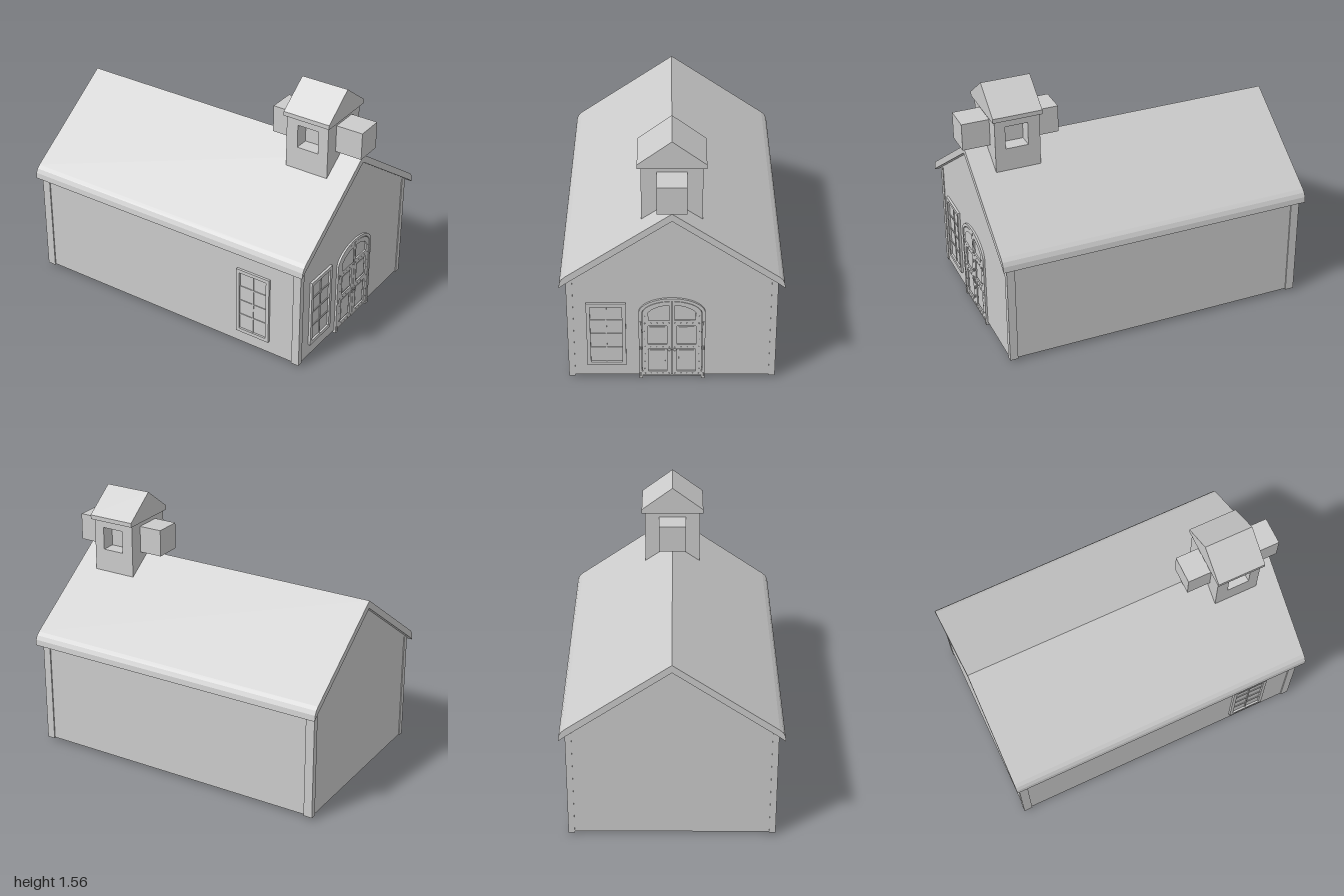
import * as THREE from 'three';

const mat = new THREE.MeshStandardMaterial({ color: 0xcccccc, flatShading: true });

function add(parent, name, geo) {
  const m = new THREE.Mesh(geo, mat);
  m.name = name;
  parent.add(m);
  return m;
}

// Box given by its limits on each axis
function box(parent, name, x0, x1, y0, y1, z0, z1) {
  const m = add(parent, name, new THREE.BoxGeometry(x1 - x0, y1 - y0, z1 - z0));
  m.position.set((x0 + x1) / 2, (y0 + y1) / 2, (z0 + z1) / 2);
  return m;
}

// Flat shape extruded from z0 to z1
function slab(parent, name, shape, z0, z1) {
  const geo = new THREE.ExtrudeGeometry(shape, { depth: z1 - z0, bevelEnabled: false, curveSegments: 16 });
  return add(parent, name, geo.translate(0, 0, z0));
}

const poly = pts => new THREE.Shape(pts.map(p => new THREE.Vector2(...p)));
const rect = (x0, x1, y0, y1) => poly([[x0, y0], [x1, y0], [x1, y1], [x0, y1]]);
const mirrored = pts => poly([...pts, ...pts.slice().reverse().filter(p => p[0] !== 0).map(([x, y]) => [-x, y])]);

// Outline with an elliptical top
function arch(halfWidth, base, spring, rise) {
  const s = new THREE.Shape();
  s.moveTo(-halfWidth, base);
  s.lineTo(halfWidth, base);
  s.lineTo(halfWidth, spring);
  s.absellipse(0, spring, halfWidth, rise, 0, Math.PI, false);
  s.closePath();
  return s;
}

// Group whose local +z faces the gable end (+x)
function gableGroup(name) {
  const g = new THREE.Group();
  g.name = name;
  g.rotation.y = Math.PI / 2;
  return g;
}

// Framed window with glazing bars, centred on x, standing on the local wall plane
function makeWindow(name) {
  const g = new THREE.Group();
  g.name = name;
  const frame = rect(-0.115, 0.115, 0.10, 0.545);
  frame.holes.push(rect(-0.093, 0.093, 0.123, 0.522));
  slab(g, 'windowFrame', frame, -0.01, 0.015);
  box(g, 'windowPane', -0.1, 0.1, 0.11, 0.53, -0.01, 0.003);
  box(g, 'verticalBar', -0.004, 0.004, 0.12, 0.525, 0, 0.008);
  for (let i = 1; i < 4; i++) {
    const y = 0.123 + i * 0.1;
    box(g, 'crossBar', -0.095, 0.095, y - 0.004, y + 0.004, 0, 0.008);
  }
  return g;
}

// Arched double door with recessed panels, hinges, studs and handles
function makeDoor() {
  const g = gableGroup('door');
  const frame = arch(0.195, 0.02, 0.475, 0.105);
  frame.holes.push(arch(0.177, 0.0201, 0.47, 0.092));
  slab(g, 'doorFrame', frame, -0.02, 0.012);
  slab(g, 'doorBacking', arch(0.18, 0.021, 0.47, 0.09), -0.02, 0.001);

  for (const s of [-1, 1]) {
    // Half of the arch, split at a narrow centre gap
    const leaf = new THREE.Shape();
    leaf.moveTo(s * 0.002, 0.024);
    leaf.lineTo(s * 0.174, 0.024);
    leaf.lineTo(s * 0.174, 0.47);
    for (let i = 1; i <= 12; i++) {
      const a = i / 12 * 1.559;
      leaf.lineTo(s * 0.174 * Math.cos(a), 0.47 + 0.088 * Math.sin(a));
    }
    leaf.closePath();
    const top = [[0.016, 0.425], [0.138, 0.425], [0.138, 0.482], [0.115, 0.502], [0.085, 0.517], [0.05, 0.527], [0.016, 0.53]];
    leaf.holes.push(poly(top.map(([x, y]) => [s * x, y])));
    for (const [y0, y1] of [[0.05, 0.215], [0.25, 0.385]]) {
      leaf.holes.push(rect(Math.min(s * 0.03, s * 0.14), Math.max(s * 0.03, s * 0.14), y0, y1));
      const pan = box(g, 'raisedPanel', -0.045, 0.045, y0 + 0.01, y1 - 0.01, 0, 0.006);
      pan.position.x = s * 0.085;
    }
    slab(g, 'doorLeaf', leaf, -0.01, 0.01);

    for (const y of [0.03, 0.225, 0.405]) {
      const hinge = add(g, 'hinge', new THREE.CylinderGeometry(0.007, 0.007, 0.024, 8));
      hinge.position.set(s * 0.184, y, 0.01);
    }
    for (const y of [0.036, 0.232, 0.405]) {
      for (let i = 0; i < 5; i++) {
        const stud = add(g, 'stud', new THREE.SphereGeometry(0.003, 6, 4));
        stud.position.set(s * (0.018 + i * 0.035), y, 0.01);
      }
    }
    for (let i = 0; i < 8; i++) {
      const stud = add(g, 'stud', new THREE.SphereGeometry(0.003, 6, 4));
      stud.position.set(s * 0.16, 0.07 + i * 0.055, 0.01);
    }
    const handle = add(g, 'handle', new THREE.TorusGeometry(0.01, 0.003, 6, 12));
    handle.position.set(s * 0.016, 0.213, 0.013);
    const foot = box(g, 'doorFoot', -0.011, 0.011, 0, 0.05, -0.045, 0.012);
    foot.position.x = s * 0.184;
  }
  g.position.x = 0.935;
  return g;
}

// Bell tower with side openings, a cross beam box and a small roof
function makeTower() {
  const g = new THREE.Group();
  g.name = 'tower';
  for (const s of [-1, 1]) {
    const wall = rect(0.55, 0.83, 1.05, 1.4);
    wall.holes.push(rect(0.625, 0.765, 1.195, 1.34));
    slab(g, 'towerSideWall', wall, s > 0 ? 0.084 : -0.175, s > 0 ? 0.175 : -0.084);
  }
  box(g, 'crossBox', 0.4, 1.0, 1.19, 1.36, -0.085, 0.085);
  const ends = gableGroup('towerGables');
  const gable = mirrored([[0.175, 1.05], [0.175, 1.4], [0, 1.535]]);
  slab(ends, 'towerGable', gable, 0.55, 0.57);
  slab(ends, 'towerGable', gable, 0.81, 0.83);
  const roof = mirrored([[0, 1.562], [0.196, 1.415], [0.196, 1.388], [0, 1.533]].slice(0, 3));
  // Underside follows the slope
  const under = [[0.196, 1.388], [0, 1.533], [-0.196, 1.388]];
  roof.setFromPoints([[-0.196, 1.415], [0, 1.562], [0.196, 1.415], ...under].map(p => new THREE.Vector2(...p)));
  slab(ends, 'towerRoof', roof, 0.54, 0.845);
  g.add(ends);
  return g;
}

export function createModel() {
  const model = new THREE.Group();
  model.name = 'chapel';

  // Body and main roof, extruded along the building
  const hall = gableGroup('hall');
  slab(hall, 'walls', mirrored([[0.605, 0.02], [0.605, 0.71], [0, 1.13]]), -0.975, 0.935);
  const outer = [[0.612, 0.748], [0.632, 0.73], [0.645, 0.705], [0.65, 0.67]];
  const right = [...outer, [0.612, 0.7]];
  const left = right.map(([x, y]) => [-x, y]).reverse();
  slab(hall, 'roof', poly([[0, 1.172], ...right, [0, 1.124], ...left]), -1, 0.97);
  model.add(hall);

  // Corner posts
  for (const s of [-1, 1]) {
    const z0 = s > 0 ? 0.575 : -0.612, z1 = s > 0 ? 0.612 : -0.575;
    box(model, 'cornerPost', 0.89, 0.94, 0.015, 0.71, z0, z1);
    box(model, 'cornerPost', -0.98, -0.925, 0.015, 0.71, z0, z1);
  }

  const sideWindow = makeWindow('sideWindow');
  sideWindow.position.set(0.615, 0, 0.605);
  const gableWindow = makeWindow('gableWindow');
  gableWindow.rotation.y = Math.PI / 2;
  gableWindow.position.set(0.935, 0, 0.385);
  model.add(sideWindow, gableWindow, makeDoor(), makeTower());
  return model;
}
